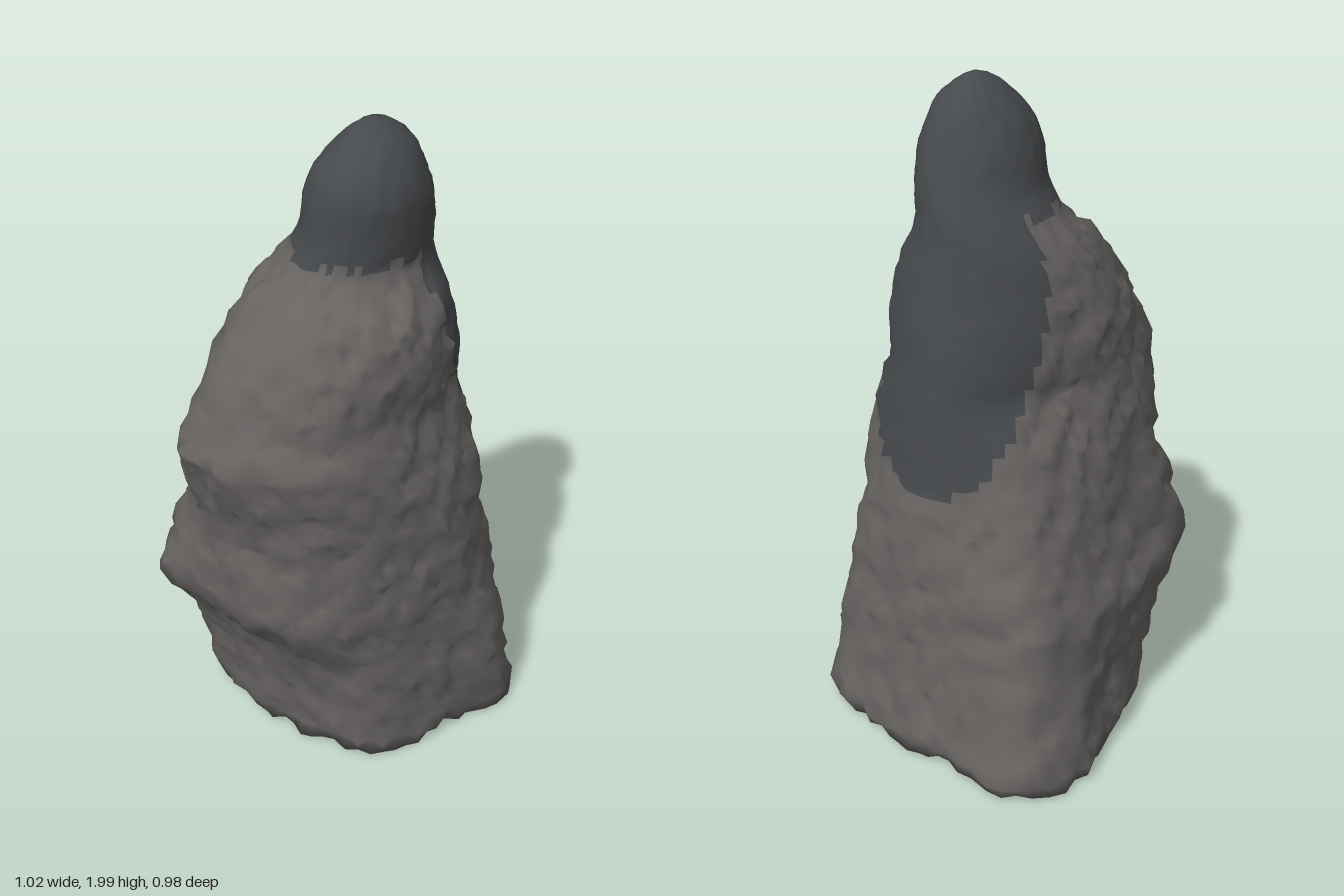
import * as THREE from 'three';

const AROUND = 64, ROWS = 60, UNDER = 7;

// Height, then the left/right (x) and back/front (z) limits of the figure there
const LIMITS = [
  [0.02, -0.25, 0.495, -0.475, 0.465],
  [0.06, -0.26, 0.505, -0.485, 0.475],
  [0.20, -0.27, 0.475, -0.45, 0.47],
  [0.40, -0.32, 0.455, -0.42, 0.44],
  [0.50, -0.39, 0.445, -0.415, 0.42],
  [0.57, -0.43, 0.44, -0.405, 0.41],
  [0.68, -0.43, 0.425, -0.38, 0.40],
  [0.85, -0.42, 0.39, -0.35, 0.385],
  [1.00, -0.46, 0.38, -0.33, 0.36],
  [1.13, -0.505, 0.37, -0.30, 0.325],
  [1.20, -0.46, 0.36, -0.295, 0.305],
  [1.32, -0.41, 0.345, -0.29, 0.325],
  [1.42, -0.355, 0.325, -0.265, 0.315],
  [1.50, -0.29, 0.31, -0.24, 0.29],
  [1.56, -0.21, 0.30, -0.205, 0.24],
  [1.61, -0.16, 0.295, -0.17, 0.21],
  [1.70, -0.14, 0.28, -0.12, 0.22],
  [1.80, -0.135, 0.25, -0.10, 0.225],
  [1.86, -0.12, 0.225, -0.075, 0.21],
  [1.91, -0.08, 0.20, -0.045, 0.185],
  [1.95, -0.04, 0.17, -0.01, 0.155],
  [1.985, 0.01, 0.12, 0.03, 0.11],
  [2.00, 0.069, 0.071, 0.069, 0.071],
];

// Outline radii at 16 angles from +x towards +z: hem, sleeve, elbow, hood
const OUTLINES = [
  [0.05, [.39, .40, .49, .53, .43, .42, .44, .40, .38, .41, .47, .44, .43, .51, .54, .41]],
  [0.58, [.44, .45, .49, .45, .40, .38, .39, .41, .41, .44, .55, .43, .39, .41, .49, .45]],
  [1.13, [.37, .38, .38, .35, .33, .35, .40, .45, .49, .50, .40, .33, .29, .27, .28, .32]],
  [1.65, new Array(16).fill(1)],
];

// Finds the pair of rows around y and the fraction between them
function bracket(table, y) {
  let k = 0;
  while (k < table.length - 2 && y > table[k + 1][0]) k++;
  const f = (y - table[k][0]) / (table[k + 1][0] - table[k][0]);
  return [table[k], table[k + 1], THREE.MathUtils.clamp(f, 0, 1)];
}

function section(y) {
  const [a, b, f] = bracket(OUTLINES, y);
  const corners = a[1].map((r, i) => {
    const radius = THREE.MathUtils.lerp(r / a[1][0], b[1][i] / b[1][0], f);
    const angle = i * Math.PI / 8;
    return new THREE.Vector3(radius * Math.cos(angle), 0, radius * Math.sin(angle));
  });
  const curve = new THREE.CatmullRomCurve3(corners, true);
  const points = Array.from({ length: AROUND }, (_, i) => curve.getPoint(i / AROUND));
  const box = new THREE.Box3().setFromPoints(points);
  const [lo, hi, g] = bracket(LIMITS, y);
  const [x0, x1, z0, z1] = [1, 2, 3, 4].map(i => THREE.MathUtils.lerp(lo[i], hi[i], g));
  return points.map(p => new THREE.Vector3(
    THREE.MathUtils.mapLinear(p.x, box.min.x, box.max.x, x0, x1), y,
    THREE.MathUtils.mapLinear(p.z, box.min.z, box.max.z, z0, z1)));
}

// Seeded roughness in -1..1
function rough(i, j, k) {
  const s = Math.sin(i * 12.9898 + j * 78.233 + k * 37.719) * 43758.5453;
  return 2 * (s - Math.floor(s)) - 1;
}

// The smooth dark hood and the rounded mantle that falls down the +x side
function isMantle(y, i) {
  const angle = Math.abs(((i / AROUND + 0.5) % 1) - 0.5) * 360;
  return y > 1.62 || (y > 0.82 && angle < 78 * Math.sqrt((y - 0.82) / 0.8));
}

export function createModel() {
  const rings = [];

  // Hollow, uneven underside, from its middle out to the hem
  const hem = section(0.02);
  for (let k = 0; k < UNDER; k++) {
    const s = 0.01 + k / UNDER;
    rings.push(hem.map((p, i) => new THREE.Vector3(
      0.12 + (p.x - 0.12) * s,
      0.02 + 0.09 * (1 - s * s) + 0.025 * s * rough(i, k, 5),
      p.z * s)));
  }

  // Robe and hood, rows packed closer at the crown
  for (let j = 0; j <= ROWS; j++) {
    const y = 0.02 + 1.98 * (1 - Math.pow(1 - j / ROWS, 1.25));
    const ring = section(y);
    ring.forEach((p, i) => {
      const size = isMantle(y, i) ? 0.003 : 0.015;
      const angle = i / AROUND * Math.PI * 2;
      const bump = size * rough(i, j, 1);
      p.x += bump * Math.cos(angle);
      p.z += bump * Math.sin(angle);
      if (j < ROWS - 3) p.y += size * 0.9 * rough(i, j, 2);
    });
    rings.push(ring);
  }

  // Join the rings, sorting faces into cloth and mantle
  const robeFaces = [], mantleFaces = [];
  for (let j = 0; j < rings.length - 1; j++) {
    for (let i = 0; i < AROUND; i++) {
      const n = (i + 1) % AROUND;
      const a = j * AROUND + i, b = j * AROUND + n;
      const c = a + AROUND, d = b + AROUND;
      const faces = isMantle(rings[j][i].y, i) ? mantleFaces : robeFaces;
      // Alternate the diagonals for a faceted, pebbly cloth
      if ((i + j) % 2) faces.push(a, c, b, b, c, d);
      else faces.push(a, c, d, a, d, b);
    }
  }
  const whole = new THREE.BufferGeometry().setFromPoints(rings.flat());
  whole.setIndex([...robeFaces, ...mantleFaces]);
  whole.computeVertexNormals();

  const group = new THREE.Group();
  group.name = 'hoodedFigure';
  const addPart = (name, faces, color) => {
    const geometry = whole.clone().setIndex(faces);
    const mesh = new THREE.Mesh(geometry, new THREE.MeshStandardMaterial({ color }));
    mesh.name = name;
    group.add(mesh);
  };
  addPart('robe', robeFaces, 0x666361);
  addPart('hoodAndMantle', mantleFaces, 0x474a4d);
  return group;
}
